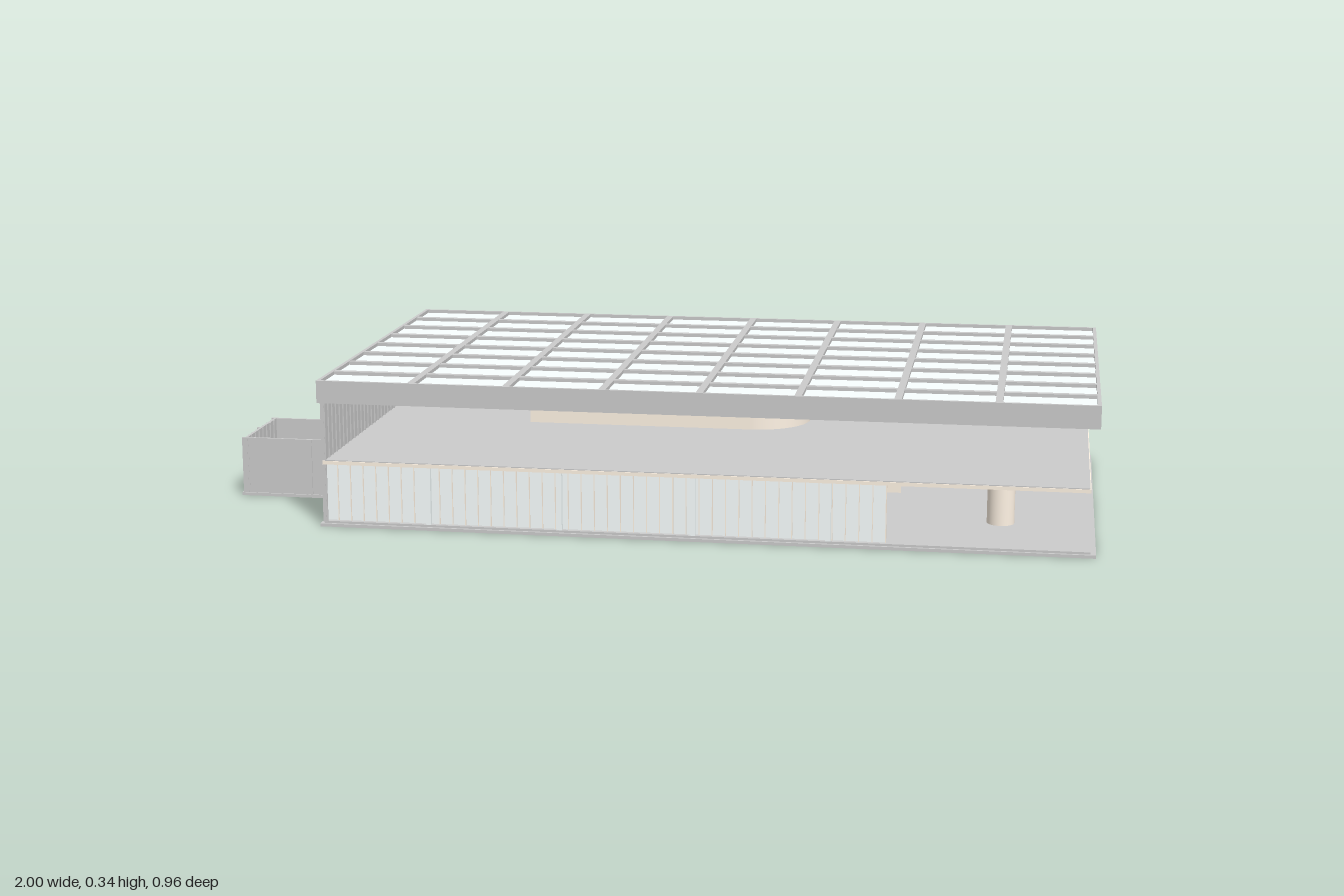
import * as THREE from 'three';

const grey = new THREE.MeshStandardMaterial({ color: 0xcccccc });
const beige = new THREE.MeshStandardMaterial({ color: 0xfff3e4, side: THREE.DoubleSide });
const glass = new THREE.MeshStandardMaterial({ color: 0xf8ffff });

// Box given by its extents on each axis
function box(parent, name, mat, x0, x1, y0, y1, z0, z1) {
  const m = new THREE.Mesh(new THREE.BoxGeometry(x1 - x0, y1 - y0, z1 - z0), mat);
  m.position.set((x0 + x1) / 2, (y0 + y1) / 2, (z0 + z1) / 2);
  m.name = name;
  parent.add(m);
  return m;
}

function group(parent, name) {
  const g = new THREE.Group();
  g.name = name;
  parent.add(g);
  return g;
}

// Panelled wall in the y-z plane with narrow mullions and a deeper one every fourth
function slattedWall(parent, name, x, y0, y1, z0, z1) {
  const g = group(parent, name);
  box(g, 'panel', grey, x, x + 0.006, y0, y1, z0, z1);
  const n = Math.round((z1 - z0) / 0.0285);
  for (let i = 0; i <= n; i++) {
    const z = z0 + 0.002 + (z1 - z0 - 0.004) * i / n;
    const out = i % 4 === 0 ? 0.007 : 0.002;
    box(g, 'mullion', grey, x - out, x + 0.009, y0, y1, z - 0.0015, z + 0.0015);
  }
}

export function createModel() {
  const model = new THREE.Group();
  model.name = 'pavilion';
  const L = -0.73, R = 1, D = 0.48;
  const floorY = 0.01, midY = 0.143, upY = 0.153, roofY = 0.285, topY = 0.336;

  // Ground slab and vestibule slab
  box(model, 'groundSlab', grey, L, R, 0, 0.007, -D, D);
  box(model, 'groundFloor', grey, L + 0.008, R - 0.012, 0.007, 0.012, -D + 0.006, D - 0.006);
  box(model, 'vestibuleSlab', grey, -1, L, 0, 0.007, 0, 0.23);

  // Upper floor: pale soffit and edge, grey finish
  box(model, 'upperSlab', beige, L + 0.008, 0.985, midY, 0.151, -0.474, 0.474);
  box(model, 'upperFloor', grey, L + 0.01, 0.983, 0.151, upY, -0.472, 0.472);

  // Back wall and lower partition
  box(model, 'backWall', beige, L + 0.008, 0.985, 0.007, roofY, -0.478, -0.47);
  box(model, 'lowerPartition', beige, L + 0.004, 0.55, floorY, midY, 0, 0.01);

  // Upper room: straight front, rounded corner, straight returns
  const plan = new THREE.Shape();
  const t = 0.008, r = 0.13;
  plan.moveTo(-0.345, 0.47);
  plan.lineTo(-0.345, -0.01);
  plan.lineTo(0.32 - r, -0.01);
  plan.absarc(0.32 - r, r - 0.01, r, -Math.PI / 2, 0, false);
  plan.lineTo(0.32, 0.47);
  plan.lineTo(0.32 - t, 0.47);
  plan.lineTo(0.32 - t, r - 0.01);
  plan.absarc(0.32 - r, r - 0.01, r - t, 0, -Math.PI / 2, true);
  plan.lineTo(-0.345 + t, -0.01 + t);
  plan.lineTo(-0.345 + t, 0.47);
  const roomGeo = new THREE.ExtrudeGeometry(plan, { depth: roofY - upY, bevelEnabled: false, curveSegments: 24 });
  roomGeo.rotateX(-Math.PI / 2);
  const room = new THREE.Mesh(roomGeo, beige);
  room.position.y = upY;
  room.name = 'upperRoomWall';
  model.add(room);
  box(model, 'wallBoard', beige, -0.23, -0.05, 0.184, 0.264, 0.01, 0.014);

  // Round column on the open corner
  const column = new THREE.Mesh(new THREE.CylinderGeometry(0.031, 0.031, midY - floorY, 32), beige);
  column.position.set(0.79, (midY + floorY) / 2, 0.25);
  column.name = 'column';
  model.add(column);

  // Left side panelled walls
  slattedWall(model, 'upperSideWall', L + 0.008, upY, roofY, -0.47, 0.475);
  slattedWall(model, 'lowerSideWall', L + 0.008, floorY, midY, 0.23, 0.475);

  // Ground floor glazed front
  const front = group(model, 'glazedFront');
  const x0 = L + 0.01, x1 = 0.546, n = 43;
  box(front, 'glazing', glass, x0, x1, floorY, midY, 0.457, 0.462);
  for (let i = 0; i <= n; i++) {
    const x = x0 + (x1 - x0) * i / n;
    box(front, 'frontMullion', beige, x - 0.001, x + 0.001, floorY, midY, 0.456, 0.465);
  }
  for (let i = 0; i < 4; i++) {
    const x = -0.48 + i * 0.3;
    box(front, 'frontFin', glass, x - 0.006, x + 0.006, floorY, midY, 0.455, 0.473);
  }

  // Entrance vestibule, open at the rear next to the building
  const porch = group(model, 'vestibule');
  slattedWall(porch, 'vestibuleOuterWall', -0.99, 0.007, 0.14, 0.003, 0.227);
  box(porch, 'vestibuleFrontWall', grey, -0.99, L + 0.01, 0.007, 0.14, 0.22, 0.226);
  box(porch, 'vestibuleRearWall', grey, -0.99, -0.83, 0.007, 0.14, 0.003, 0.009);
  box(porch, 'doorPost', grey, -0.838, -0.826, 0.007, 0.14, 0.001, 0.011);
  box(porch, 'frontPost', grey, -0.838, -0.826, 0.007, 0.14, 0.218, 0.229);

  // Roof: fascia frame, beam grid and skylight panes
  const roof = group(model, 'roof');
  const e = 0.008, b = 0.008, cells = 8;
  for (const s of [-1, 1]) {
    const z = s * (D - e / 2);
    box(roof, 'longFascia', grey, L, R, roofY, topY, z - e / 2, z + e / 2);
    const x = (L + R) / 2 + s * ((R - L) / 2 - e / 2);
    box(roof, 'shortFascia', grey, x - e / 2, x + e / 2, roofY, topY, -D + e, D - e);
  }
  for (let i = 1; i < cells; i++) {
    const x = L + (R - L) * i / cells, z = -D + 2 * D * i / cells;
    box(roof, 'crossBeam', grey, x - b, x + b, roofY + 0.002, topY, -D + e, D - e);
    box(roof, 'longBeam', grey, L + e, R - e, roofY + 0.004, topY - 0.0005, z - b, z + b);
  }
  box(roof, 'skylightPanes', glass, L + e, R - e, topY - 0.012, topY - 0.008, -D + e, D - e);

  return model;
}
